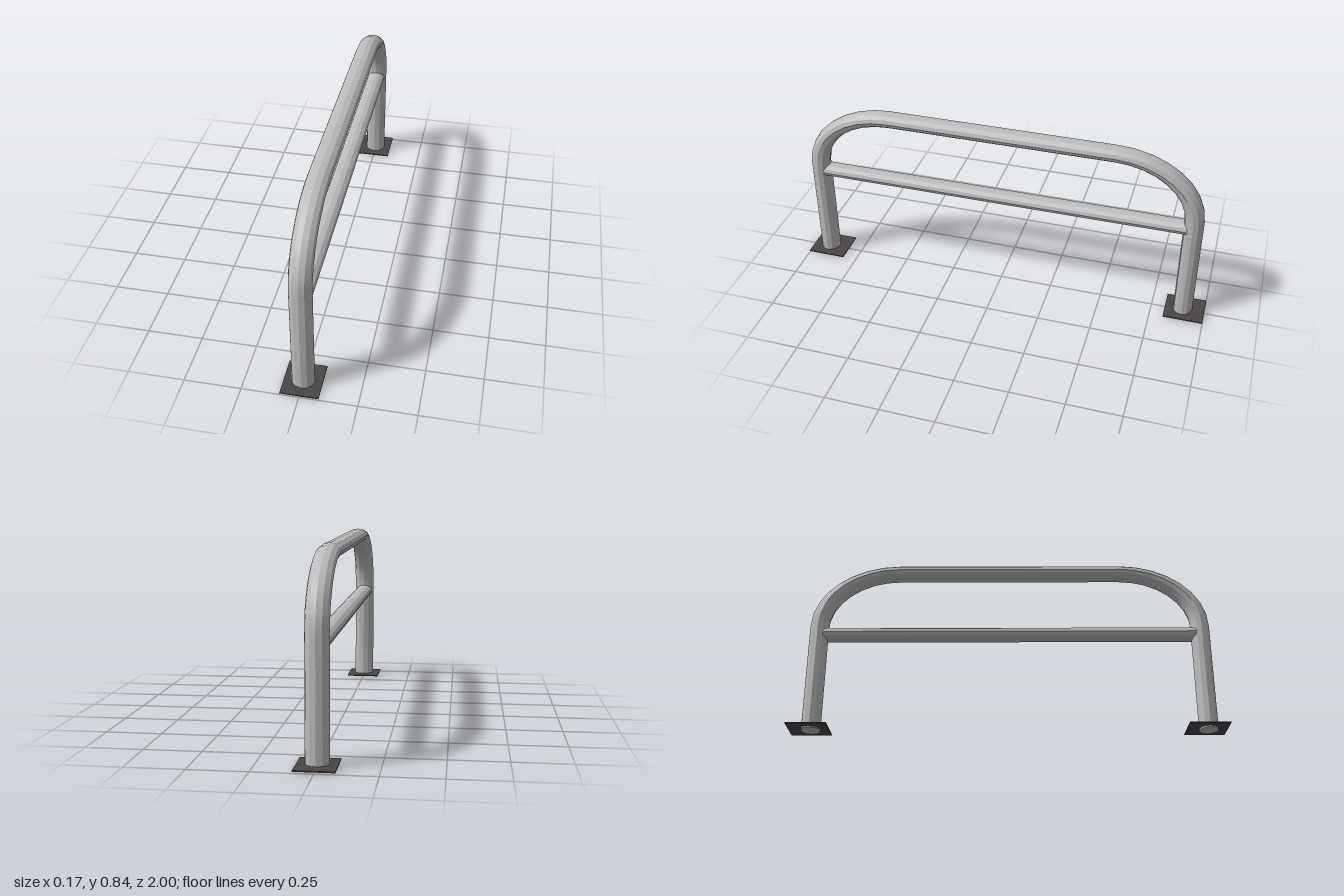
import * as THREE from 'three';
import { toCreasedNormals } from 'three/addons/utils/BufferGeometryUtils.js';

const SIDES = 12;
const CREASE = THREE.MathUtils.degToRad(17);

// Round pipe swept up one leg, over two quarter bends and down the other leg
function hoopGeometry({ radius, bend, legZ, topY, segments }) {
  const positions = [], index = [];
  const addRing = (cy, cz, a) => {
    for (let j = 0; j < SIDES; j++) {
      const t = (j / SIDES) * Math.PI * 2;
      const n = radius * Math.cos(t);
      positions.push(radius * Math.sin(t), cy + n * Math.sin(a), cz + n * Math.cos(a));
    }
  };
  addRing(0, legZ, 0);
  for (const side of [1, -1]) {
    for (let i = 0; i <= segments; i++) {
      const a = (i / segments) * Math.PI / 2 + (side > 0 ? 0 : Math.PI / 2);
      addRing(topY - bend + bend * Math.sin(a), side * (legZ - bend) + bend * Math.cos(a), a);
    }
  }
  addRing(0, -legZ, Math.PI);

  const rings = positions.length / 3 / SIDES;
  for (let i = 0; i < rings - 1; i++) {
    for (let j = 0; j < SIDES; j++) {
      const k = (j + 1) % SIDES;
      const a = i * SIDES + j, b = i * SIDES + k, c = a + SIDES, d = b + SIDES;
      index.push(a, b, c, b, d, c);
    }
  }
  // Closed pipe ends
  const last = (rings - 1) * SIDES;
  for (let j = 1; j < SIDES - 1; j++) {
    index.push(0, j + 1, j, last, last + j, last + j + 1);
  }
  const geometry = new THREE.BufferGeometry();
  geometry.setAttribute('position', new THREE.Float32BufferAttribute(positions, 3));
  geometry.setIndex(index);
  return geometry;
}

export function createModel() {
  const metal = new THREE.MeshStandardMaterial({ color: 0xbcbcbc });
  metal.name = 'brushed metal';
  const dark = new THREE.MeshStandardMaterial({ color: 0x4a4646 });
  dark.name = 'dark plate';

  const model = new THREE.Group();
  model.name = 'bikeRack';
  const add = (name, geometry, material) => {
    const mesh = new THREE.Mesh(geometry, material);
    mesh.name = name;
    model.add(mesh);
    return mesh;
  };

  // Bent hoop, slightly flattened in height and length
  const hoop = hoopGeometry({ radius: 0.05, bend: 0.414, legZ: 1.006, topY: 1.157, segments: 8 });
  hoop.scale(1, 0.7, 0.9);
  add('hoop', toCreasedNormals(hoop, CREASE), metal).position.z = 0.008;

  // Lower rail between the legs
  const rail = new THREE.CylinderGeometry(0.044, 0.044, 1.8, SIDES);
  rail.rotateX(Math.PI / 2);
  rail.scale(1, 0.72, 1);
  add('crossRail', toCreasedNormals(rail, CREASE), metal).position.set(0, 0.481, 0.008);

  // Thin foot plates
  for (const side of [1, -1]) {
    const plate = add(side > 0 ? 'frontFootPlate' : 'backFootPlate',
      new THREE.BoxGeometry(0.167, 0.005, 0.185), dark);
    plate.position.set(0, 0.009, side * 0.9075);
  }
  return model;
}
